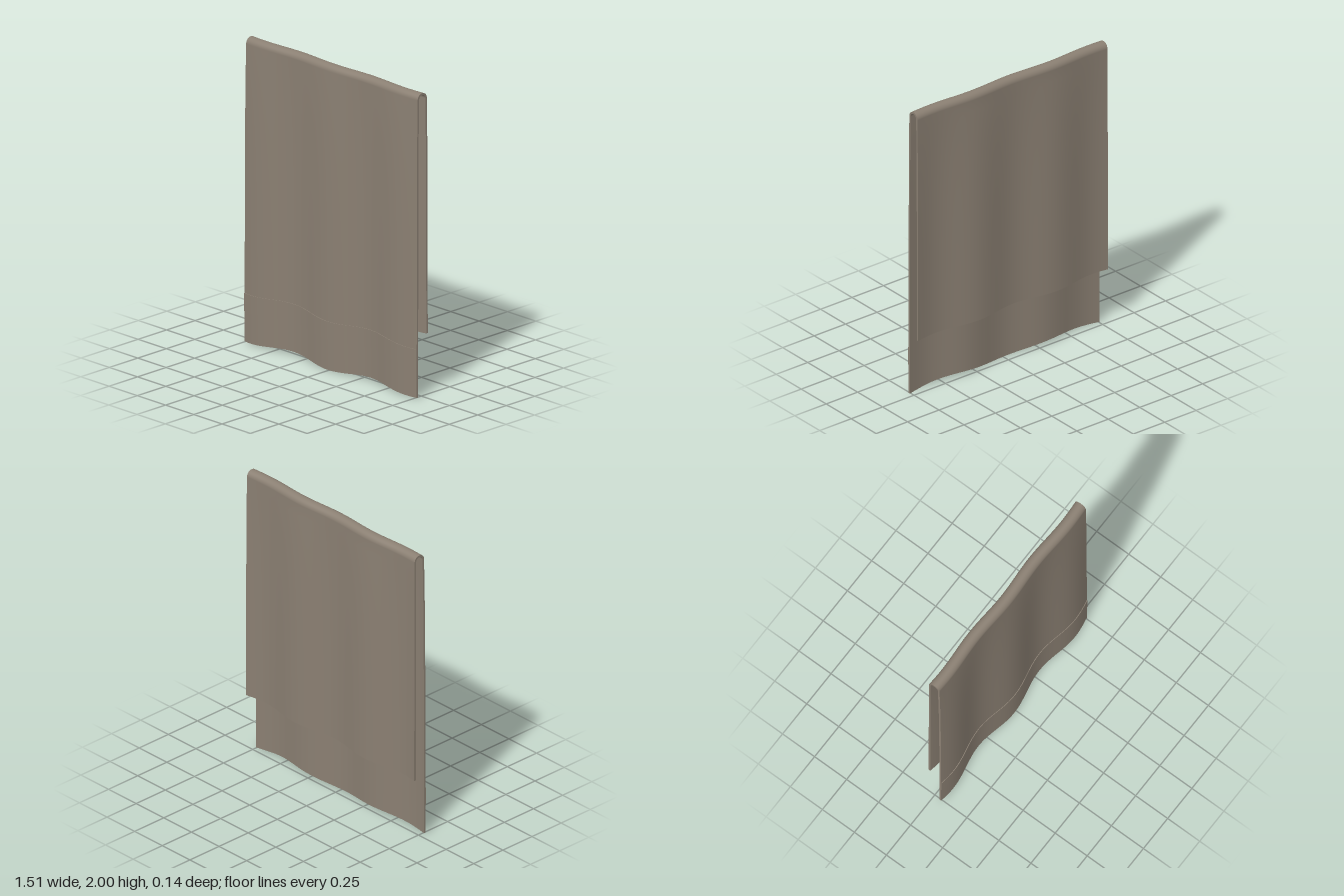
import * as THREE from 'three';
import { ParametricGeometry } from 'three/addons/geometries/ParametricGeometry.js';
import { mergeGeometries } from 'three/addons/utils/BufferGeometryUtils.js';

const HALF = 0.757;        // half width
const THICK = 0.013;       // cloth thickness
const R = 0.034;           // fold radius at the middle of the cloth
const FOLD_Y = 2 - R - THICK / 2;
const BACK_Y = 0.405;      // back hem height
const lerp = THREE.MathUtils.lerp;

// Point on the draped cloth: s 0-1 climbs the front, 1-2 rounds the fold,
// 2-3 falls down the back; d is the offset outwards from the middle of the cloth.
function clothPoint(x, s, d, target) {
  let y, z;
  const hem = 0.0125 * (1 - Math.cos((2 * Math.PI * x) / HALF));
  if (s <= 1) y = lerp(hem, FOLD_Y, s);
  else if (s >= 2) y = lerp(FOLD_Y, BACK_Y, s - 2);
  else y = FOLD_Y;
  // the layers spread and the waves deepen with the drop
  const k = 1 - Math.exp(-2.2 * (FOLD_Y - y));
  const r = R + 0.008 * k + d;
  if (s <= 1) z = r;
  else if (s >= 2) z = -r;
  else {
    const a = (s - 1) * Math.PI;
    y += r * Math.sin(a);
    z = r * Math.cos(a);
  }
  z += (0.007 + 0.013 * k) * Math.cos((2 * Math.PI * (x + 0.02)) / 0.62) - 0.002;
  return target.set(x, y, z);
}

// Solid strip of cloth between two path positions and two offsets
function clothSlab(s0, s1, d0, d1, rows) {
  const X = (u) => lerp(-HALF, HALF, u);
  const S = (v) => lerp(s0, s1, v);
  const D = (w) => lerp(d0, d1, w);
  const face = (fn, nu, nv) => new ParametricGeometry(fn, nu, nv);
  return mergeGeometries([
    face((u, v, t) => clothPoint(X(u), S(v), d1, t), 64, rows),         // outer
    face((u, v, t) => clothPoint(X(1 - u), S(v), d0, t), 64, rows),     // inner
    face((u, v, t) => clothPoint(X(u), s0, D(v), t), 64, 1),            // start hem
    face((u, v, t) => clothPoint(X(1 - u), s1, D(v), t), 64, 1),        // end hem
    face((u, v, t) => clothPoint(HALF, S(v), D(1 - u), t), 1, rows),    // left edge
    face((u, v, t) => clothPoint(-HALF, S(v), D(u), t), 1, rows),       // right edge
  ]);
}

export function createModel() {
  const group = new THREE.Group();
  group.name = 'drapedTowel';
  const material = new THREE.MeshStandardMaterial({ color: 0x8a7f72, side: THREE.DoubleSide });

  const add = (name, geometry) => {
    const mesh = new THREE.Mesh(geometry, material);
    mesh.name = name;
    group.add(mesh);
  };

  // Folded cloth, longer at the front
  add('towelCloth', clothSlab(0, 3, -THICK / 2, THICK / 2, 60));
  // Raised woven band near the front hem
  add('wovenBand', clothSlab(0.2 / FOLD_Y, 0.32 / FOLD_Y, THICK / 2 - 0.002, THICK / 2 + 0.004, 4));
  return group;
}
